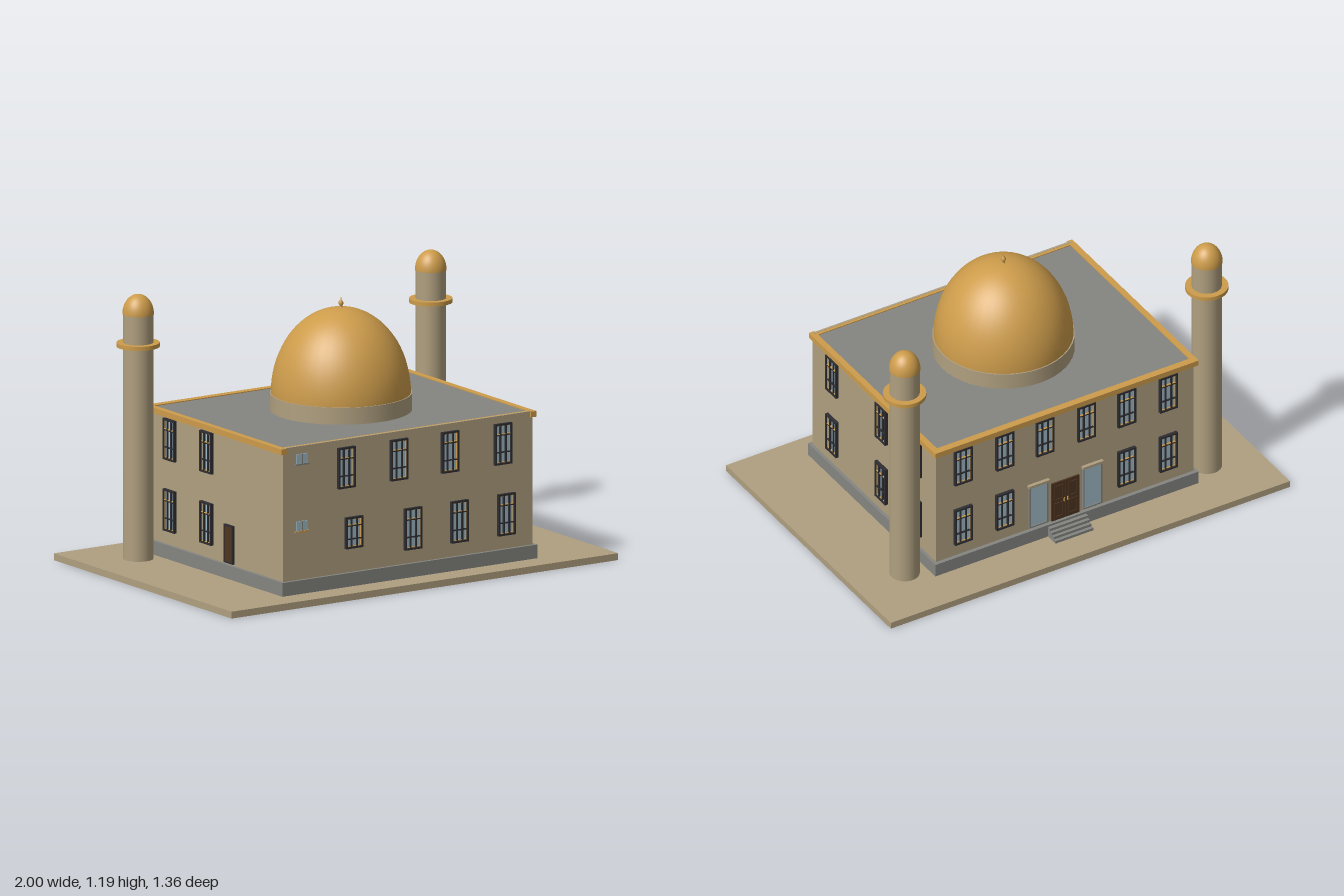
import * as THREE from 'three';

const mat = (name, color, side = THREE.FrontSide) => {
  const m = new THREE.MeshStandardMaterial({ color, side });
  m.name = name;
  return m;
};

export function createModel() {
  const stone = mat('sandstone', 0xb0a080);
  const gold = mat('gold', 0xcd9c4b);
  const grey = mat('grey stone', 0x858581);
  const glass = mat('pale blue glass', 0xa0bac6);
  const dark = mat('charcoal frame', 0x2e2e33);
  const wood = mat('dark wood', 0x4e3420);

  const model = new THREE.Group();
  model.name = 'domedBuilding';

  const add = (parent, name, geometry, material, x = 0, y = 0, z = 0) => {
    const mesh = new THREE.Mesh(geometry, material);
    mesh.name = name;
    mesh.position.set(x, y, z);
    parent.add(mesh);
    return mesh;
  };
  // Box given by its lower and upper corners
  const block = (parent, name, material, [x0, y0, z0], [x1, y1, z1]) =>
    add(parent, name, new THREE.BoxGeometry(x1 - x0, y1 - y0, z1 - z0), material,
      (x0 + x1) / 2, (y0 + y1) / 2, (z0 + z1) / 2);
  const halfDome = (r, h) =>
    new THREE.SphereGeometry(r, 40, 20, 0, Math.PI * 2, 0, Math.PI / 2).scale(1, h / r, 1);

  // Ground slab, plinth, walls and roof
  block(model, 'groundSlab', stone, [-1, 0, -0.68], [1, 0.03, 0.675]);
  block(model, 'plinth', grey, [-0.66, 0.03, -0.488], [0.66, 0.09, 0.56]);
  block(model, 'walls', stone, [-0.645, 0.09, -0.47], [0.645, 0.665, 0.545]);
  block(model, 'roof', grey, [-0.632, 0.665, -0.455], [0.632, 0.671, 0.522]);

  // Gold cornice on the sides and back, low parapet on the front
  for (const s of [-1, 1]) {
    const a = s * 0.632, b = s * 0.66;
    block(model, 'sideCornice', gold, [Math.min(a, b), 0.65, -0.488], [Math.max(a, b), 0.675, 0.553]);
  }
  block(model, 'backCornice', gold, [-0.632, 0.65, -0.488], [0.632, 0.675, -0.455]);
  block(model, 'frontCornice', gold, [-0.632, 0.655, 0.522], [0.632, 0.675, 0.535]);
  block(model, 'frontParapet', stone, [-0.645, 0.66, 0.535], [0.645, 0.676, 0.546]);

  // Main dome on its drum, with a turned finial
  const cupola = new THREE.Group();
  cupola.name = 'cupola';
  cupola.position.z = 0.035;
  model.add(cupola);
  add(cupola, 'drum', new THREE.CylinderGeometry(0.305, 0.305, 0.075, 48), stone, 0, 0.7075, 0);
  add(cupola, 'dome', halfDome(0.3, 0.372), gold, 0, 0.745, 0);
  const finialProfile = [[0.012, 1.11], [0.006, 1.12], [0.007, 1.126], [0.012, 1.136],
    [0.007, 1.146], [0.003, 1.15], [0.0001, 1.167]].map(([r, y]) => new THREE.Vector2(r, y));
  add(cupola, 'finial', new THREE.LatheGeometry(finialProfile, 16), gold);

  // Pair of minarets
  for (const s of [-1, 1]) {
    const tower = new THREE.Group();
    tower.name = s > 0 ? 'leftMinaret' : 'rightMinaret';
    tower.position.set(s * 0.757, 0, -0.395);
    model.add(tower);
    add(tower, 'shaft', new THREE.CylinderGeometry(0.065, 0.065, 1.075, 32), stone, 0, 0.5675, 0);
    add(tower, 'balcony', new THREE.CylinderGeometry(0.093, 0.093, 0.018, 32), gold, 0, 0.971, 0);
    add(tower, 'cap', halfDome(0.068, 0.087), gold, 0, 1.104, 0);
    add(tower, 'capBase', new THREE.CircleGeometry(0.068, 32).rotateX(Math.PI / 2), gold, 0, 1.104, 0);
  }

  // Each wall is a group whose local +z points outward and local x runs along it
  const wall = (name, x, z, turn) => {
    const g = new THREE.Group();
    g.name = name;
    g.position.set(x, 0, z);
    g.rotation.y = turn;
    model.add(g);
    return g;
  };
  const front = wall('frontOpenings', 0, 0.545, 0);
  const back = wall('backOpenings', 0, -0.47, Math.PI);
  const left = wall('leftOpenings', 0.645, 0, Math.PI / 2);
  const right = wall('rightOpenings', -0.645, 0, -Math.PI / 2);

  // Rectangular ring
  const ring = (w, h, t, depth) => {
    const rect = (Type, a, b) => new Type([[-a, -b], [a, -b], [a, b], [-a, b]]
      .map(([x, y]) => new THREE.Vector2(x, y)));
    const shape = rect(THREE.Shape, w / 2, h / 2);
    shape.holes.push(rect(THREE.Path, w / 2 - t, h / 2 - t));
    return new THREE.ExtrudeGeometry(shape, { depth, bevelEnabled: false });
  };

  // Framed window with gold lining and glazing bars
  const addWindow = (parent, x, y0, y1, w = 0.088) => {
    const h = y1 - y0;
    const g = new THREE.Group();
    g.name = 'window';
    g.position.set(x, (y0 + y1) / 2, 0);
    parent.add(g);
    add(g, 'pane', new THREE.BoxGeometry(w - 0.01, h - 0.01, 0.004), glass, 0, 0, 0.002);
    add(g, 'frame', ring(w, h, 0.008, 0.015), dark);
    add(g, 'lining', ring(w - 0.016, h - 0.016, 0.003, 0.009), gold);
    for (const s of [-1, 1])
      add(g, 'uprightBar', new THREE.BoxGeometry(0.006, h - 0.016, 0.01), dark, s * w * 0.16, 0, 0.007);
    for (const f of [-0.2, 0.22])
      add(g, 'crossBar', new THREE.BoxGeometry(w - 0.016, 0.005, 0.009), dark, 0, f * h, 0.007);
    add(g, 'goldBar', new THREE.BoxGeometry(w - 0.016, 0.003, 0.009), gold, 0, 0.22 * h + 0.004, 0.007);
  };
  const LOW = [0.15, 0.333], HIGH = [0.463, 0.643];

  for (const x of [-0.323, -0.05, 0.214, 0.487]) addWindow(front, x, ...HIGH);
  addWindow(front, -0.283, 0.195, 0.333);
  for (const x of [0.022, 0.262, 0.505]) addWindow(front, x, ...LOW);
  for (const z of [0.375, -0.03, -0.31])
    for (const row of [LOW, HIGH]) addWindow(left, -z, ...row);
  for (const z of [-0.03, -0.31])
    for (const row of [LOW, HIGH]) addWindow(right, z, ...row);
  for (const s of [-1, 1]) {
    for (const x of [0.104, 0.305, 0.514]) addWindow(back, s * x, ...HIGH);
    for (const x of [0.305, 0.514]) addWindow(back, s * x, ...LOW);
  }

  // Two small front windows with sills
  for (const [y, sill] of [[0.6, grey], [0.305, gold]]) {
    block(front, 'smallPane', glass, [-0.58, y, 0], [-0.52, y + 0.042, 0.004]);
    block(front, 'smallSill', sill, [-0.587, y - 0.007, 0], [-0.513, y, 0.008]);
    block(front, 'smallBar', grey, [-0.552, y, 0], [-0.548, y + 0.042, 0.006]);
  }

  // Back entrance: double door between two glazed panels
  for (const s of [-1, 1]) {
    const leaf = add(back, 'doorLeaf', new THREE.BoxGeometry(0.068, 0.195, 0.008), wood, s * 0.035, 0.19, 0.004);
    for (const y of [-0.045, 0.045])
      add(leaf, 'doorPanel', ring(0.045, 0.075, 0.006, 0.004), wood, 0, y, 0.004);
    add(leaf, 'doorHandle', new THREE.BoxGeometry(0.004, 0.02, 0.006), gold, -s * 0.026, 0, 0.006);
    add(back, 'sidePanel', new THREE.BoxGeometry(0.086, 0.205, 0.005), glass, s * 0.135, 0.205, 0.002);
    add(back, 'sidePanelFrame', ring(0.096, 0.215, 0.007, 0.009), grey, s * 0.135, 0.205, 0);
    add(back, 'sidePanelLintel', new THREE.BoxGeometry(0.104, 0.012, 0.016), stone, s * 0.135, 0.317, 0.008);
  }

  // Side door on the right wall
  block(right, 'sideDoor', wood, [0.108, 0.1, 0], [0.172, 0.262, 0.008]);
  add(right, 'sideDoorFrame', ring(0.07, 0.168, 0.006, 0.011), dark, 0.14, 0.181, 0);

  // Entrance steps
  for (let i = 0; i < 4; i++)
    block(model, 'step', grey, [-0.095, 0.03 + i * 0.0125, -0.55 + i * 0.015],
      [0.095, 0.0425 + i * 0.0125, -0.487]);

  return model;
}
